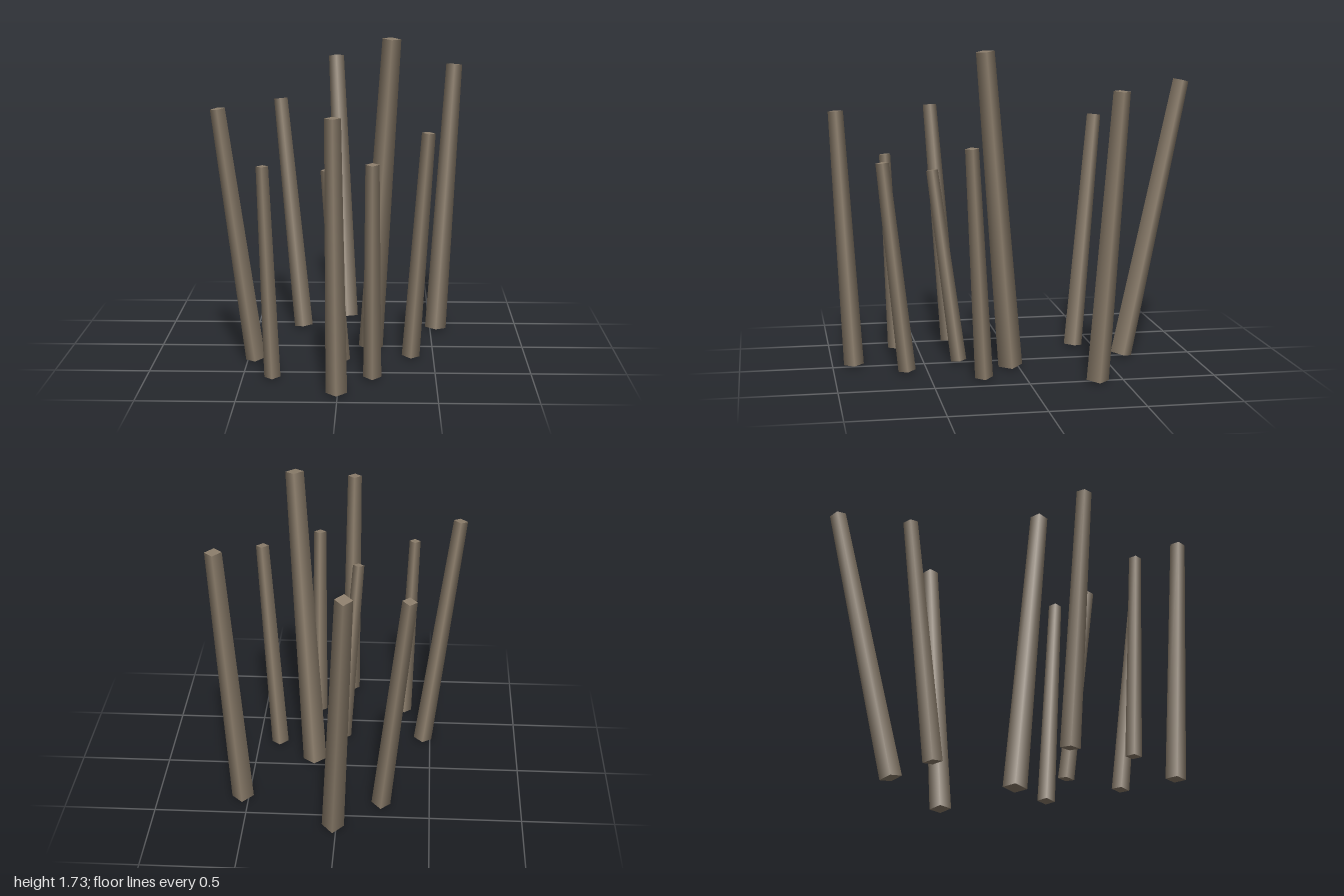
import * as THREE from 'three';

export function createModel() {
  const group = new THREE.Group();
  group.name = 'leaningPoles';
  const wood = new THREE.MeshStandardMaterial({ color: 0x8b7d6b });
  wood.name = 'weathered wood';

  // each pole: base x, z, base radius, then top x, y, z
  const poles = [
    [-0.457, 0.30, 0.052, -0.635, 1.375, 0.385],
    [-0.343, 0.627, 0.042, -0.384, 1.12, 0.67],
    [-0.234, -0.385, 0.052, -0.369, 1.328, -0.529],
    [0.017, -0.608, 0.06, -0.06, 1.54, -0.952],
    [-0.005, 0.885, 0.054, -0.02, 1.40, 0.96],
    [0.008, 0.31, 0.043, -0.068, 1.065, 0.44],
    [0.172, 0.612, 0.047, 0.17, 1.14, 0.731],
    [0.16, 0.047, 0.066, 0.266, 1.723, 0.196],
    [0.377, 0.225, 0.048, 0.461, 1.24, 0.296],
    [0.531, -0.355, 0.06, 0.625, 1.535, -0.446],
  ];
  const up = new THREE.Vector3(0, 1, 0);

  // tapered four-sided poles with smooth sides
  poles.forEach(([bx, bz, radius, tx, ty, tz], i) => {
    const base = new THREE.Vector3(bx, 0.014, bz);
    const top = new THREE.Vector3(tx, ty, tz);
    const axis = top.clone().sub(base);
    const pole = new THREE.Mesh(
      new THREE.CylinderGeometry(radius * 0.75, radius, axis.length(), 4), wood);
    pole.name = `pole${i + 1}`;
    pole.position.copy(base).add(top).multiplyScalar(0.5);
    pole.quaternion.setFromUnitVectors(up, axis.normalize());
    group.add(pole);
  });
  return group;
}
